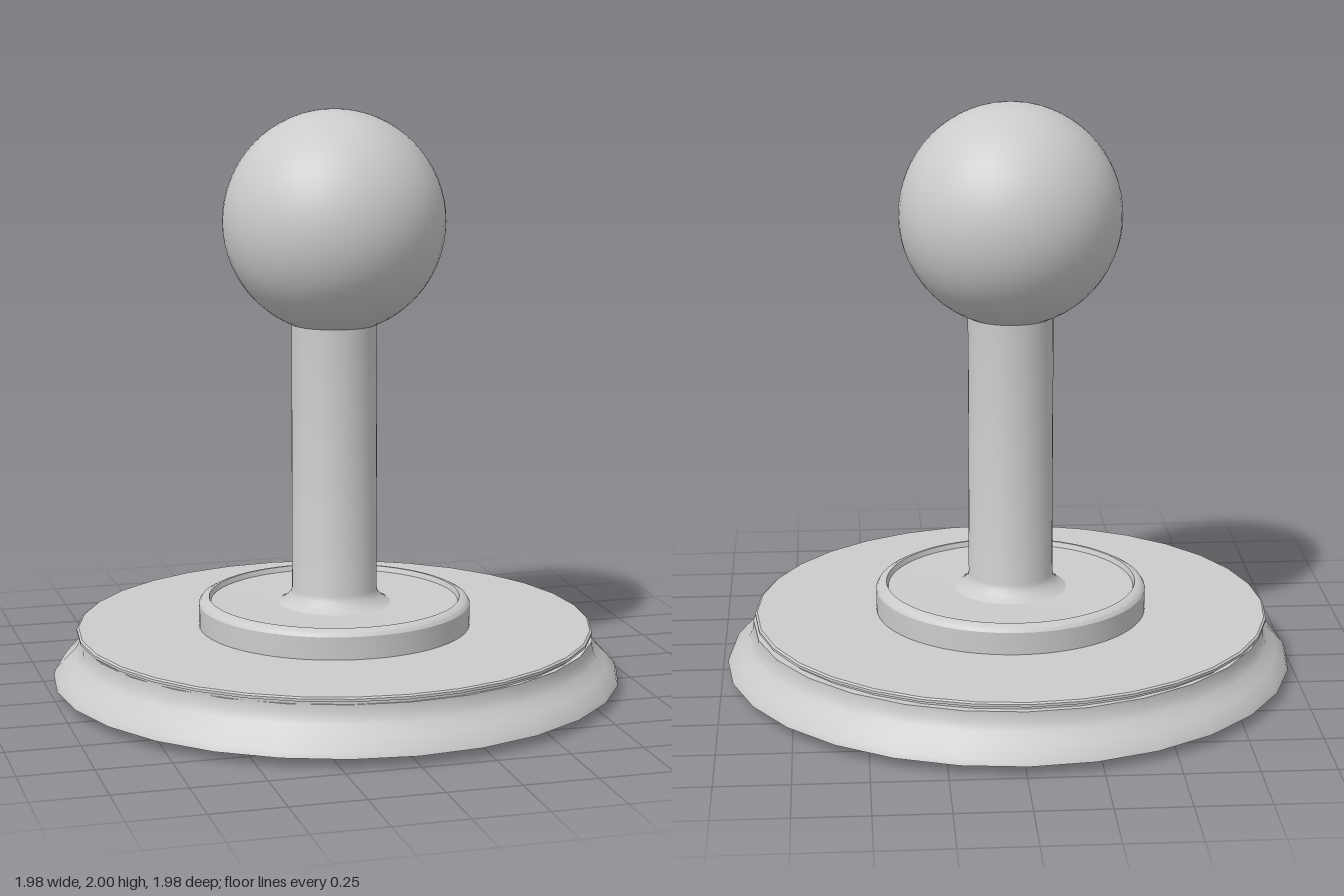
import * as THREE from 'three';
import { toCreasedNormals } from 'three/addons/utils/BufferGeometryUtils.js';

const material = new THREE.MeshStandardMaterial({ color: 0xcccccc });

// Turned part from [radius, height] pairs, listed bottom to top, with sharp steps kept crisp
function turned(name, profile, sides) {
  const points = profile.map(([r, y]) => new THREE.Vector2(r, y));
  const geometry = toCreasedNormals(new THREE.LatheGeometry(points, sides), 0.5);
  const mesh = new THREE.Mesh(geometry, material);
  mesh.name = name;
  return mesh;
}

export function createModel() {
  const model = new THREE.Group();
  model.name = 'ballTopLever';

  // Flared foot with a slightly bevelled underside
  const foot = turned('foot', [
    [0, 0], [0.83, 0.005], [0.988, 0.033], [0.98, 0.052], [0.945, 0.09],
    [0.912, 0.123], [0.897, 0.15], [0.895, 0.183], [0, 0.183],
  ], 28);
  foot.position.x = -0.005;

  // Upper parts share an axis set a little off the foot's
  const upper = new THREE.Group();
  upper.name = 'upperParts';
  upper.position.set(-0.014, 0, 0.008);

  // Thin lipped plate with a narrow groove beneath it
  const plate = turned('plate', [
    [0.88, 0.18], [0.88, 0.195], [0.897, 0.196], [0.897, 0.205], [0.89, 0.21], [0, 0.21],
  ], 32);

  // Round collar with a bevelled rim and a shallow recess
  const collar = turned('collar', [
    [0.472, 0.205], [0.472, 0.288], [0.464, 0.3], [0.445, 0.31],
    [0.436, 0.31], [0.43, 0.292], [0, 0.285],
  ], 64);

  // Straight shaft flaring into the collar
  const shaft = turned('shaft', [
    [0.205, 0.284], [0.185, 0.293], [0.165, 0.308], [0.152, 0.323], [0.147, 0.34], [0.147, 1.3],
  ], 48);

  // Ball knob
  const knob = new THREE.Mesh(new THREE.SphereGeometry(0.381, 48, 32), material);
  knob.name = 'knob';
  knob.position.y = 1.619;

  upper.add(plate, collar, shaft, knob);
  model.add(foot, upper);
  return model;
}
